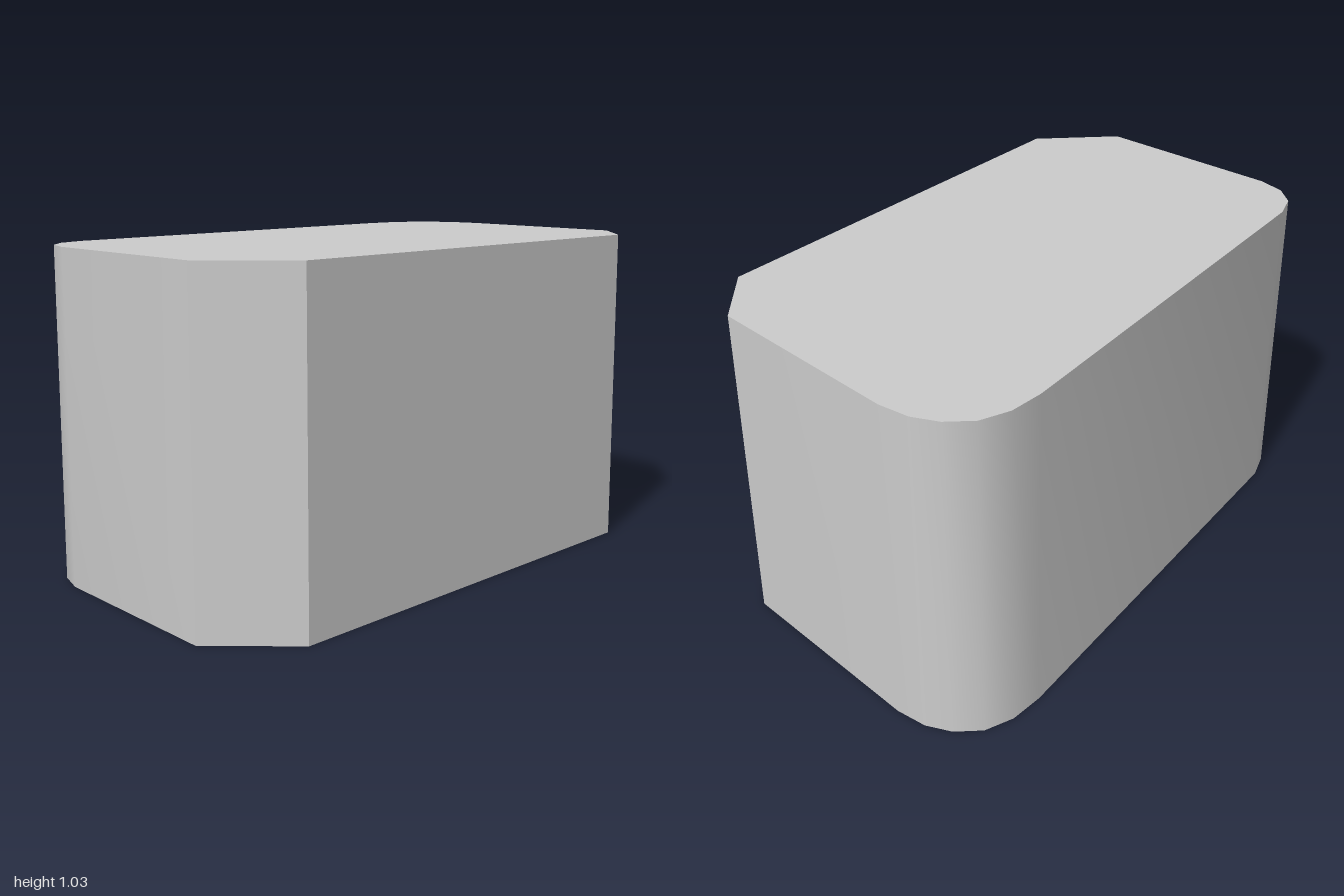
import * as THREE from 'three';
import { toCreasedNormals } from 'three/addons/utils/BufferGeometryUtils.js';

const HEIGHT = 1.035;

// Footprint corners as [x, z]
const backRightRound = [
  [-0.562, -0.72], [-0.55, -0.83], [-0.51, -0.917], [-0.44, -0.973], [-0.36, -1], [-0.26, -1],
];
const backLeftChamfer = [[0.4, -0.88], [0.56, -0.685]];
const frontLeftChamfer = [[0.522, 0.802], [0.29, 1]];
const frontRightRound = [[-0.36, 0.906], [-0.45, 0.868], [-0.512, 0.798], [-0.538, 0.7]];

export function createModel() {
  const group = new THREE.Group();
  group.name = 'block';

  const outline = [...backRightRound, ...backLeftChamfer, ...frontLeftChamfer, ...frontRightRound];
  const shape = new THREE.Shape(outline.map(([x, z]) => new THREE.Vector2(x, -z)));

  // Upright prism: rounded corners shade smoothly, chamfers and caps stay sharp
  const prism = new THREE.ExtrudeGeometry(shape, { depth: HEIGHT, bevelEnabled: false });
  prism.rotateX(-Math.PI / 2);

  const body = new THREE.Mesh(
    toCreasedNormals(prism, THREE.MathUtils.degToRad(32)),
    new THREE.MeshStandardMaterial({ color: 0xcccccc }),
  );
  body.name = 'body';
  group.add(body);
  return group;
}
